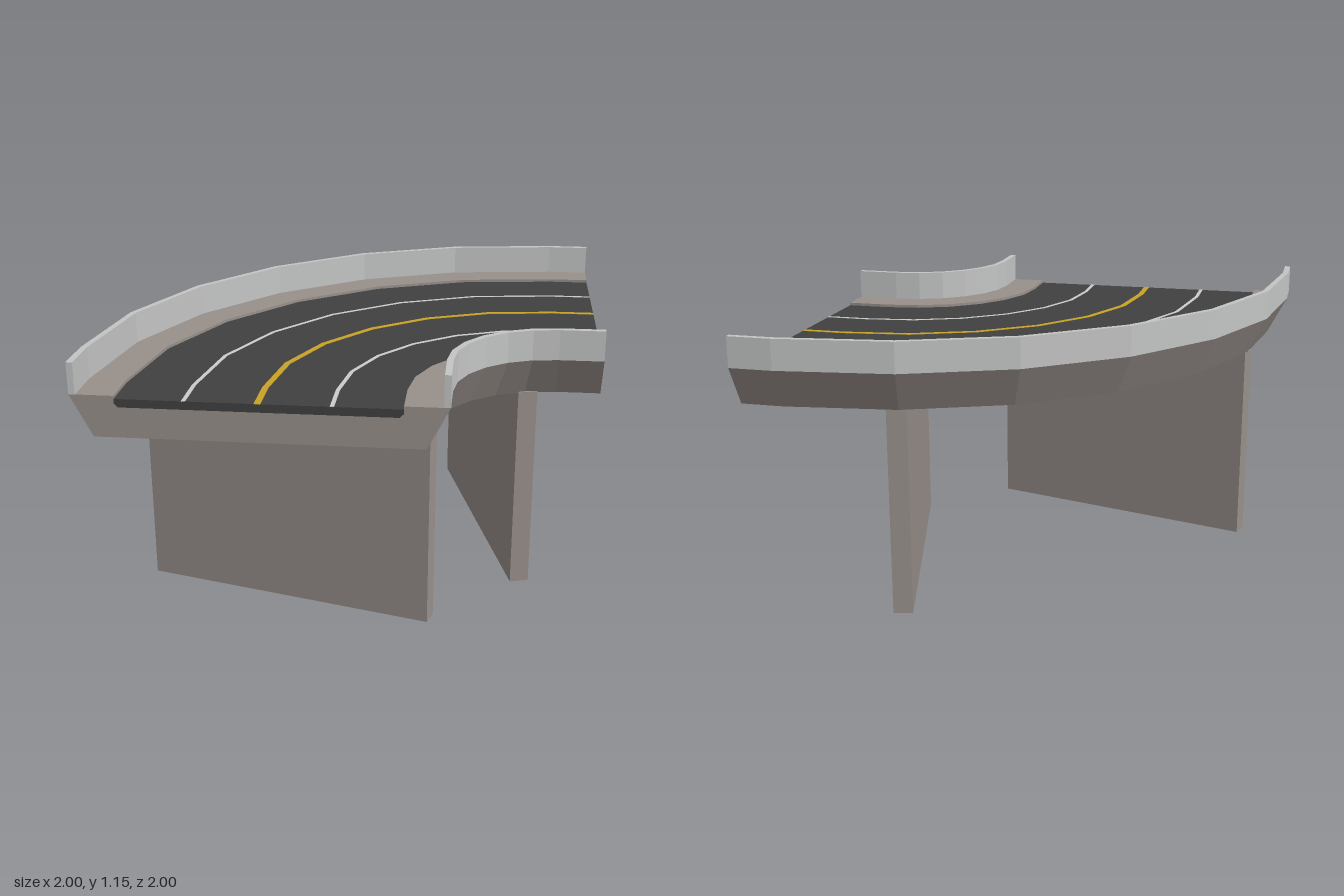
import * as THREE from 'three';

const CENTRE = 0.82; // bend centre on x and z
const STRAIGHT = 0.18; // straight run at each end
const SEGMENTS = 6; // facets in the quarter turn

const paint = (name, color) => {
  const m = new THREE.MeshStandardMaterial({ color });
  m.name = name;
  return m;
};

// Sweeps a [radius, height] profile along straight, quarter bend, straight.
function sweep(name, profile, material) {
  const steps = SEGMENTS + 2;
  const shape = new THREE.Shape(profile.map(([r, y]) => new THREE.Vector2(r, y)));
  const extruded = new THREE.ExtrudeGeometry(shape, { steps, depth: steps, bevelEnabled: false });
  const geo = extruded.index ? extruded.toNonIndexed() : extruded;
  const p = geo.attributes.position;
  for (let i = 0; i < p.count; i++) {
    const r = p.getX(i);
    const station = Math.round(p.getZ(i));
    const k = THREE.MathUtils.clamp(station - 1, 0, SEGMENTS);
    const a = (k / SEGMENTS) * Math.PI / 2;
    let x = CENTRE - r * Math.cos(a);
    let z = CENTRE - r * Math.sin(a);
    if (station === 0) z += STRAIGHT;
    if (station === steps) x += STRAIGHT;
    p.setXYZ(i, x, p.getY(i), z);
  }
  geo.clearGroups();
  geo.computeVertexNormals();
  const mesh = new THREE.Mesh(geo, material);
  mesh.name = name;
  return mesh;
}

const band = (r0, r1, y0, y1) => [[r0, y0], [r1, y0], [r1, y1], [r0, y1]];

export function createModel() {
  const group = new THREE.Group();
  group.name = 'curvedRoadBridge';
  const concrete = paint('concrete', 0x98908b);
  const barrier = paint('barrierGrey', 0xc4c5c5);
  const asphalt = paint('asphalt', 0x404040);
  const white = paint('laneWhite', 0xcccccc);
  const yellow = paint('laneYellow', 0xc9a227);

  // Deck with sloping flanks and a shallow channel for the road
  group.add(sweep('deck', [
    [0.49, 0.865], [1.735, 0.865], [1.82, 1.03], [1.65, 1.03], [1.65, 1.0], [1.635, 0.985],
    [0.59, 0.985], [0.575, 1.0], [0.575, 1.03], [0.405, 1.03],
  ], concrete));

  // Road slab filling the channel
  group.add(sweep('roadSurface', [
    [0.59, 0.985], [1.635, 0.985], [1.65, 1.0], [1.65, 1.018], [0.575, 1.018], [0.575, 1.0],
  ], asphalt));

  // Parapets along both edges
  group.add(sweep('outerParapet', band(1.795, 1.82, 1.03, 1.155), barrier));
  group.add(sweep('innerParapet', band(0.405, 0.43, 1.03, 1.155), barrier));

  // Painted lane lines
  const line = (name, r, width, material) =>
    group.add(sweep(name, band(r - width / 2, r + width / 2, 1.016, 1.0195), material));
  line('outerLaneLine', 1.388, 0.016, white);
  line('innerLaneLine', 0.837, 0.016, white);
  line('centreLine', 1.113, 0.025, yellow);

  // Radial wall piers
  for (const [name, x, z, degrees] of [['frontPier', -0.26, 0.548, 15], ['backPier', 0.545, -0.245, 75]]) {
    const pier = new THREE.Mesh(new THREE.BoxGeometry(1.245, 0.87, 0.08), concrete);
    pier.name = name;
    pier.position.set(x, 0.435, z);
    pier.rotation.y = -THREE.MathUtils.degToRad(degrees);
    group.add(pier);
  }
  return group;
}
